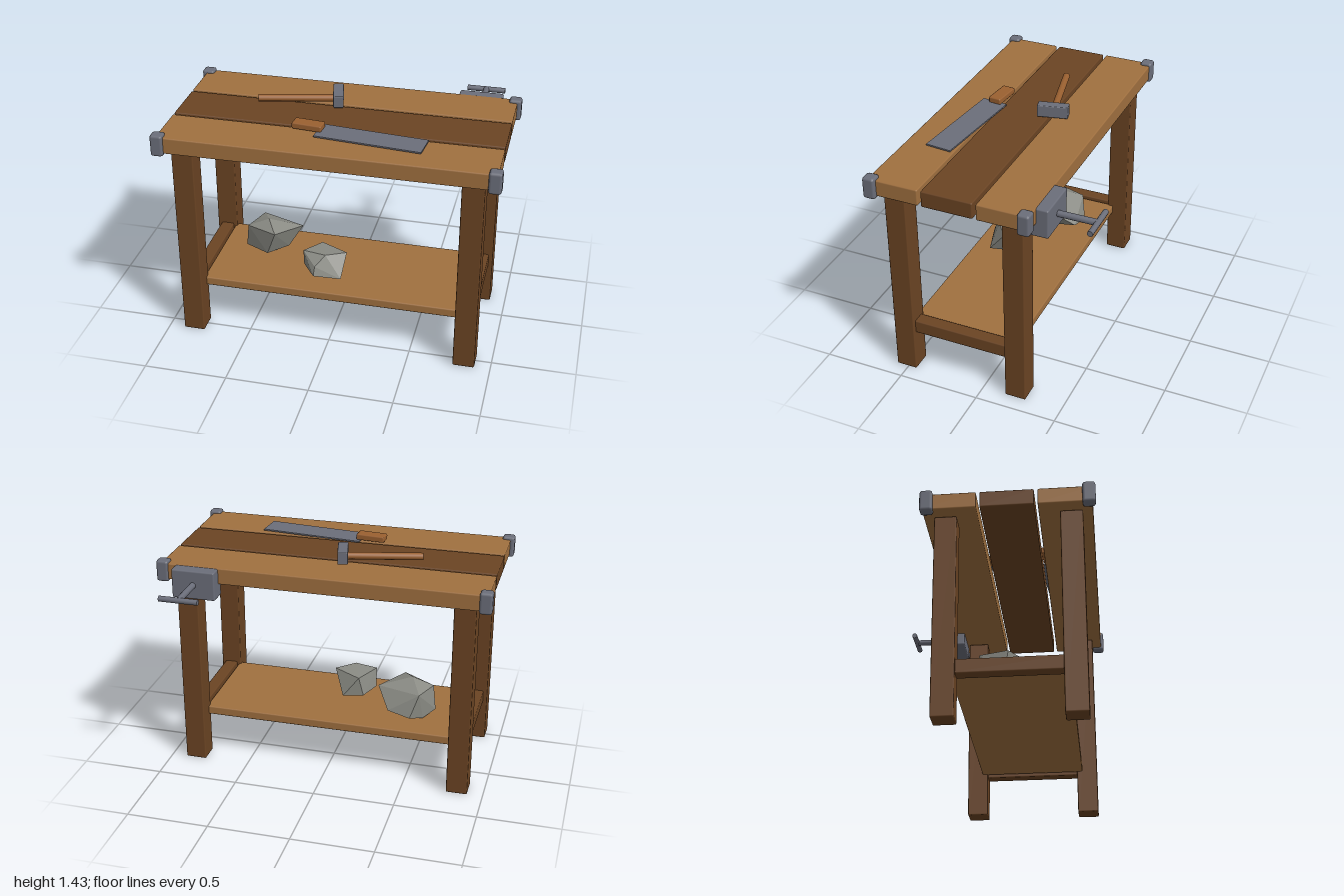
import * as THREE from 'three';
import { RoundedBoxGeometry } from 'three/addons/geometries/RoundedBoxGeometry.js';
import { ConvexGeometry } from 'three/addons/geometries/ConvexGeometry.js';

function material(name, color) {
  const m = new THREE.MeshStandardMaterial({ color });
  m.name = name;
  return m;
}

export function createModel() {
  const lightWood = material('light wood', 0xa0703f);
  const darkWood = material('dark wood', 0x6b4423);
  const handleWood = material('handle wood', 0x9a6030);
  const steel = material('steel', 0x6b6e7a);
  const stone = material('stone', 0x8a8b84);

  const bench = new THREE.Group();
  bench.name = 'workbench';

  function add(name, geometry, mat, x, y, z, parent = bench) {
    const mesh = new THREE.Mesh(geometry, mat);
    mesh.name = name;
    mesh.position.set(x, y, z);
    parent.add(mesh);
    return mesh;
  }
  // Box with slightly chamfered edges
  const block = (w, h, d, bevel = 0.008) => new RoundedBoxGeometry(w, h, d, 1, bevel);
  function group(name, x, y, z, turn = 0) {
    const g = new THREE.Group();
    g.name = name;
    g.position.set(x, y, z);
    g.rotation.y = turn;
    bench.add(g);
    return g;
  }

  const midZ = 0.15;

  // Table top: three planks, the middle one dark
  [[-0.183, lightWood], [0.147, darkWood], [0.477, lightWood]].forEach(([z, mat]) =>
    add('topPlank', block(1.95, 0.1, 0.31), mat, 0, 1.295, z));

  // Legs, corner brackets and side rails
  for (const sx of [-1, 1]) {
    for (const sz of [-1, 1]) {
      add('leg', block(0.13, 1.235, 0.13), darkWood, sx * 0.84, 0.6175, midZ + sz * 0.36);
      add('cornerBracket', block(0.075, 0.132, 0.075, 0.016), steel, sx * 0.9625, 1.296, midZ + sz * 0.463);
    }
    add('sideRail', block(0.08, 0.086, 0.62), darkWood, sx * 0.84, 0.303, midZ);
  }

  // Lower shelf
  add('shelf', block(1.58, 0.055, 0.66), lightWood, 0, 0.303, midZ);

  // Vise on the back edge
  const vise = group('vise', 0.748, 1.253, -0.35);
  add('viseJaw', block(0.265, 0.177, 0.118, 0.01), steel, 0, 0, 0, vise);
  add('viseScrew', new THREE.CylinderGeometry(0.019, 0.019, 0.25, 12), steel, 0, 0, -0.165, vise).rotation.x = Math.PI / 2;
  add('viseHandle', new THREE.CylinderGeometry(0.017, 0.017, 0.236, 12), steel, 0, 0, -0.289, vise).rotation.z = Math.PI / 2;

  // Hammer lying on the top
  const hammer = group('hammer', -0.063, 1.382, -0.037, 0.225);
  add('hammerHead', block(0.062, 0.075, 0.187, 0.006), steel, 0, 0.014, 0, hammer);
  add('hammerHandle', new THREE.CylinderGeometry(0.022, 0.022, 0.46, 10), handleWood, -0.245, 0, 0, hammer).rotation.z = Math.PI / 2;

  // Hand saw: thin blade and grip
  const saw = group('saw', 0.225, 1.355, 0.386, -0.1);
  add('sawBlade', new THREE.BoxGeometry(0.632, 0.009, 0.16), steel, 0, 0, 0, saw);
  add('sawGrip', block(0.178, 0.038, 0.08), handleWood, -0.378, 0.02, -0.01, saw);

  // Faceted stones on the shelf
  const rock = (name, points) =>
    add(name, new ConvexGeometry(points.map(p => new THREE.Vector3(...p))), stone, 0, 0, 0);
  rock('largeStone', [
    [-0.48, 0.567, 0.1], [-0.41, 0.53, 0.22], [-0.275, 0.51, 0.04], [-0.61, 0.513, 0.12],
    [-0.55, 0.517, -0.05], [-0.63, 0.36, 0.1], [-0.36, 0.375, 0.08], [-0.47, 0.37, 0.19],
    [-0.5, 0.37, -0.085], [-0.36, 0.4, -0.07], [-0.46, 0.33, 0.1], [-0.46, 0.33, 0], [-0.57, 0.34, 0],
  ]);
  rock('smallStone', [
    [-0.205, 0.497, 0.3], [0.055, 0.487, 0.25], [-0.06, 0.5, 0.33], [-0.115, 0.44, 0.38],
    [-0.12, 0.48, 0.155], [0.04, 0.358, 0.355], [-0.03, 0.33, 0.3], [-0.14, 0.33, 0.3],
    [-0.21, 0.38, 0.27], [-0.12, 0.385, 0.4], [-0.02, 0.35, 0.14], [-0.15, 0.36, 0.16],
  ]);

  return bench;
}
